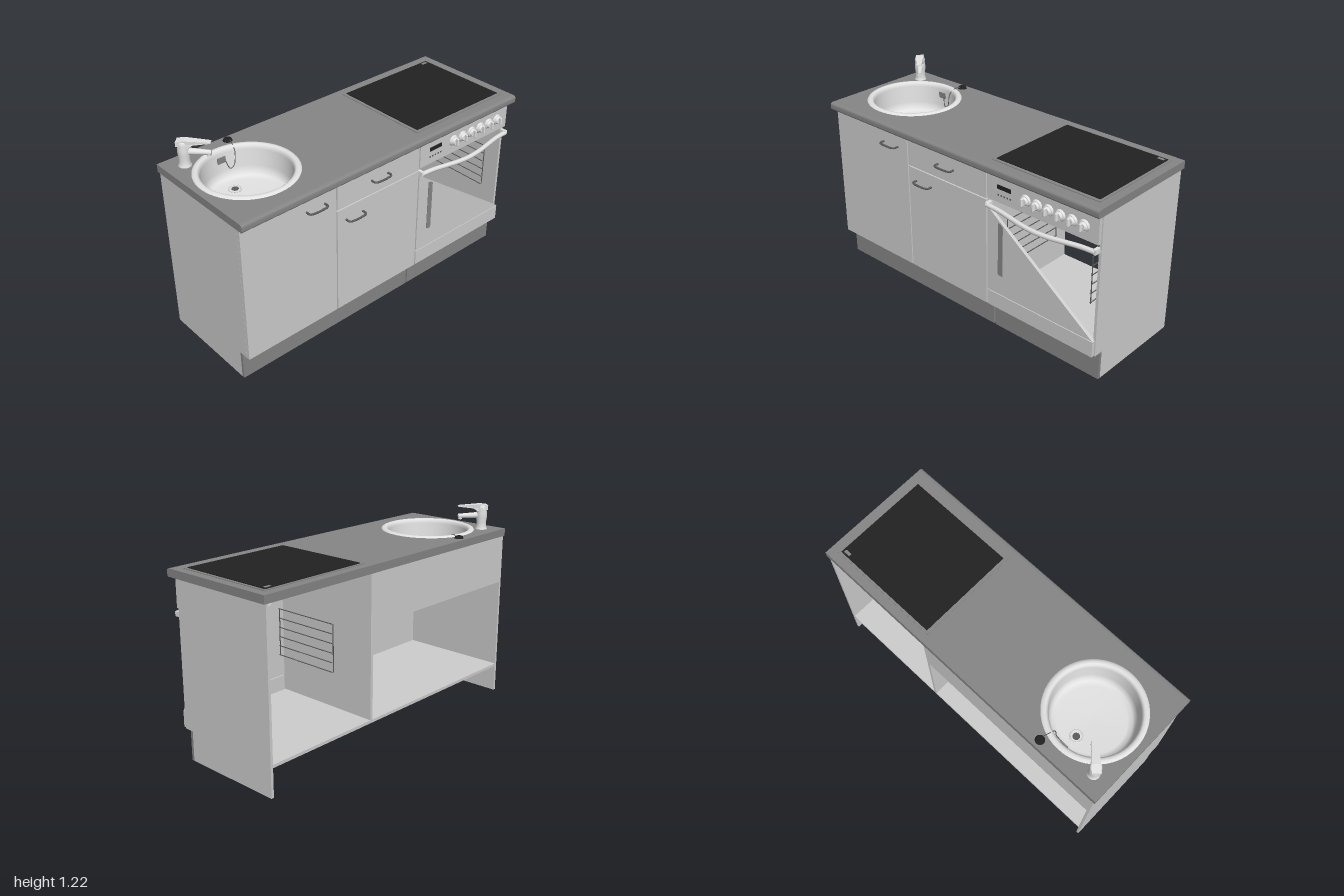
import * as THREE from 'three';
import { RoundedBoxGeometry } from 'three/addons/geometries/RoundedBoxGeometry.js';
import { toCreasedNormals } from 'three/addons/utils/BufferGeometryUtils.js';

const mat = (name, color, side = THREE.FrontSide) =>
  Object.assign(new THREE.MeshStandardMaterial({ color, side }), { name });

export function createModel() {
  const root = new THREE.Group();
  root.name = 'kitchenUnit';
  const cabinet = mat('cabinetGrey', 0xcdcdcd);
  const stone = mat('worktopGrey', 0x868686);
  const steel = mat('steel', 0xe2e2e2, THREE.DoubleSide);
  const black = mat('glassBlack', 0x222222);
  const dark = mat('handleGrey', 0x5c5c5c);

  const add = (name, geo, material, parent = root) => {
    const m = new THREE.Mesh(geo, material);
    m.name = name;
    parent.add(m);
    return m;
  };
  // Box given by its limits on each axis
  const box = (name, material, x0, x1, y0, y1, z0, z1) => {
    const m = add(name, new THREE.BoxGeometry(x1 - x0, y1 - y0, z1 - z0), material);
    m.position.set((x0 + x1) / 2, (y0 + y1) / 2, (z0 + z1) / 2);
    return m;
  };
  const poly = (pts) => new THREE.Shape(pts.map(([a, b]) => new THREE.Vector2(a, b)));
  const extrude = (shape, depth, curveSegments = 48) =>
    new THREE.ExtrudeGeometry(shape, { depth, bevelEnabled: false, curveSegments });
  const tube = (name, material, pts, r, parent = root, seg = 16) =>
    add(name, new THREE.TubeGeometry(new THREE.CatmullRomCurve3(
      pts.map((p) => new THREE.Vector3(...p))), seg, r, 8), material, parent);
  const rod = (name, material, a, b, r, parent = root) => {
    const v0 = new THREE.Vector3(...a), v1 = new THREE.Vector3(...b);
    return add(name, new THREE.TubeGeometry(new THREE.LineCurve3(v0, v1), 1, r, 6), material, parent);
  };

  // Carcass: end panels with a toe recess, floor, divider, back strip, post
  const endShape = poly([[0.38, 0], [0.38, 1.02], [-0.3, 1.02], [-0.3, 0.175], [-0.24, 0.175], [-0.24, 0]]);
  for (const x of [-0.99, 0.97]) {
    const m = add('endPanel', extrude(endShape, 0.016), cabinet);
    m.rotation.y = Math.PI / 2;
    m.position.x = x;
  }
  box('floorPanel', cabinet, -0.974, 0.97, 0.165, 0.183, -0.38, 0.3);
  box('divider', cabinet, 0.222, 0.24, 0.183, 1.02, -0.38, 0.3);
  box('backStrip', cabinet, -0.974, 0.222, 0.73, 1.02, -0.38, -0.365);
  box('frontPost', cabinet, -0.38, -0.362, 0.183, 1.02, 0.24, 0.3);
  box('plinth', stone, -0.99, 0.236, 0, 0.175, 0.24, 0.257);
  box('plinth', stone, 0.246, 0.986, 0, 0.175, 0.24, 0.257);

  // Doors and drawer front
  box('sinkDoor', cabinet, -0.99, -0.376, 0.178, 1.012, 0.301, 0.321);
  box('drawerFront', cabinet, -0.368, 0.237, 0.847, 1.012, 0.301, 0.321);
  box('lowerDoor', cabinet, -0.368, 0.237, 0.178, 0.84, 0.301, 0.321);
  for (const [x, y] of [[-0.515, 0.932], [-0.065, 0.932], [-0.247, 0.764]])
    tube('pullHandle', dark, [[x - 0.06, y, 0.32], [x - 0.06, y, 0.345], [x - 0.05, y, 0.355],
      [x + 0.05, y, 0.355], [x + 0.06, y, 0.345], [x + 0.06, y, 0.32]], 0.006, root, 28);

  // Worktop with sink cutout and rounded front edge
  const top = poly([[-1, -0.335], [1, -0.335], [1, 0.385], [-1, 0.385]]);
  top.holes.push(new THREE.Path().absarc(-0.68, 0.03, 0.25, 0, Math.PI * 2, true));
  const slab = add('worktop', extrude(top, 0.046), stone);
  slab.rotation.x = -Math.PI / 2;
  slab.position.y = 1.022;
  const nose = new THREE.Shape();
  nose.moveTo(-0.335, 1.022).lineTo(-0.335, 1.068).lineTo(-0.342, 1.068);
  nose.quadraticCurveTo(-0.36, 1.068, -0.36, 1.05).lineTo(-0.36, 1.034);
  nose.quadraticCurveTo(-0.36, 1.022, -0.35, 1.022);
  const edge = add('worktopFrontEdge', toCreasedNormals(extrude(nose, 2, 8), 0.6), stone);
  edge.rotation.y = Math.PI / 2;
  edge.position.x = -1;

  // Hob
  box('hobFrame', stone, 0.245, 0.952, 1.066, 1.072, -0.335, 0.288);
  box('hobGlass', black, 0.265, 0.937, 1.07, 1.076, -0.322, 0.268);
  box('hobMark', stone, 0.885, 0.925, 1.075, 1.077, -0.312, -0.294);

  // Sink bowl, drain and overflow
  const bowl = [[0, 0.885], [0.19, 0.89], [0.218, 0.9], [0.232, 0.92], [0.238, 0.95], [0.243, 1.05],
    [0.247, 1.068], [0.256, 1.076], [0.268, 1.077], [0.28, 1.073], [0.285, 1.067]];
  const sink = add('sinkBowl', new THREE.LatheGeometry(bowl.map((p) => new THREE.Vector2(...p)), 56), steel);
  sink.position.set(-0.68, 0, -0.03);
  const cyl = (name, material, r0, r1, h, x, y, z, seg = 24, parent = root) => {
    const m = add(name, new THREE.CylinderGeometry(r0, r1, h, seg), material, parent);
    m.position.set(x, y, z);
    return m;
  };
  cyl('drainPipe', steel, 0.034, 0.03, 0.03, -0.68, 0.874, -0.155);
  const ring = add('drainRing', new THREE.TorusGeometry(0.034, 0.004, 8, 28), steel);
  ring.rotation.x = Math.PI / 2;
  ring.position.set(-0.68, 0.89, -0.155);
  cyl('drainHole', dark, 0.02, 0.02, 0.004, -0.68, 0.889, -0.155);
  box('overflow', stone, -0.705, -0.655, 1.0, 1.035, -0.268, -0.26);

  // Plug and its chain
  cyl('plug', black, 0.022, 0.027, 0.012, -0.58, 1.075, -0.342);
  cyl('plugKnob', black, 0.009, 0.009, 0.008, -0.58, 1.083, -0.342, 12);
  tube('plugChain', dark, [[-0.58, 1.08, -0.32], [-0.59, 1.081, -0.29], [-0.6, 1.05, -0.25],
    [-0.615, 0.97, -0.245], [-0.64, 0.96, -0.245], [-0.66, 1.01, -0.256]], 0.0025, root, 30);

  // Mixer tap, turned toward the bowl
  const tap = new THREE.Group();
  tap.name = 'mixerTap';
  tap.position.set(-0.893, 0, -0.28);
  tap.rotation.y = -Math.PI / 4;
  root.add(tap);
  const body = [[0.036, 1.066], [0.036, 1.074], [0.031, 1.08], [0.029, 1.11], [0.033, 1.14],
    [0.033, 1.17], [0.03, 1.185], [0.032, 1.2], [0.026, 1.215], [0, 1.22]];
  add('tapBody', new THREE.LatheGeometry(body.map((p) => new THREE.Vector2(...p)), 24), steel, tap);
  const spout = cyl('tapSpout', steel, 0.013, 0.02, 0.13, 0.08, 1.151, 0, 20, tap);
  spout.rotation.z = -Math.PI / 2 - 0.03;
  cyl('tapNozzle', steel, 0.013, 0.013, 0.024, 0.132, 1.142, 0, 16, tap);
  const leverGeo = extrude(poly([[-0.034, 1.19], [0.03, 1.182], [0.055, 1.198], [0.147, 1.208],
    [0.147, 1.214], [0.01, 1.223], [-0.034, 1.217]]), 0.05);
  leverGeo.translate(0, 0, -0.025);
  const lp = leverGeo.attributes.position;
  for (let i = 0; i < lp.count; i++) // narrows toward the tip
    lp.setZ(i, lp.getZ(i) * (1 - 2.8 * Math.max(0, lp.getX(i))));
  leverGeo.computeVertexNormals();
  add('tapLever', leverGeo, steel, tap);

  // Oven control panel with display, lamps and knobs
  box('controlPanel', cabinet, 0.246, 0.98, 0.855, 1.012, 0.301, 0.321);
  box('display', black, 0.32, 0.415, 0.936, 0.96, 0.32, 0.324);
  for (let i = 0; i < 5; i++) {
    const x = 0.326 + i * 0.021;
    box('indicatorLamp', dark, x - 0.005, x + 0.005, 0.896, 0.905, 0.32, 0.323);
  }
  for (let i = 0; i < 6; i++) {
    const knob = new THREE.Group();
    knob.name = 'knob';
    knob.position.set(0.515 + i * 0.075, 0.934, 0.321);
    knob.rotation.x = Math.PI / 2;
    root.add(knob);
    cyl('knobFlange', steel, 0.029, 0.033, 0.012, 0, 0.006, 0, 28, knob);
    cyl('knobBody', steel, 0.02, 0.026, 0.014, 0, 0.018, 0, 28, knob);
    add('knobGrip', new RoundedBoxGeometry(0.012, 0.022, 0.046, 2, 0.004), steel, knob).position.y = 0.03;
  }

  // Oven door: solid lower triangle, lower panel, grey strip and bowed handle
  const door = add('ovenDoor', extrude(poly([[0.246, 0.278], [0.978, 0.278], [0.246, 0.805]]), 0.02), cabinet);
  door.position.z = 0.301;
  box('ovenLowerPanel', cabinet, 0.246, 0.98, 0.178, 0.273, 0.301, 0.321);
  const strip = add('doorStrip', extrude(poly([[0.325, 0.41], [0.333, 0.402], [0.358, 0.402],
    [0.358, 0.715], [0.345, 0.727], [0.325, 0.73]]), 0.004), stone);
  strip.position.z = 0.32;
  const bar = [];
  for (let i = 0; i <= 8; i++) {
    const t = i / 4 - 1, bow = Math.cos(t * Math.PI) * 0.5 + 0.5;
    bar.push([0.613 + 0.36 * t, 0.82 - 0.014 * bow, 0.333 + 0.034 * bow]);
  }
  tube('ovenHandle', steel, bar, 0.014, root, 40);
  for (const x of [0.256, 0.97]) box('handleMount', steel, x - 0.01, x + 0.01, 0.806, 0.834, 0.301, 0.34);

  // Shelf runners on both sides of the oven
  for (const [x, s] of [[0.325, 1], [0.9, -1]]) {
    const runners = new THREE.Group();
    runners.name = 'shelfRunners';
    root.add(runners);
    for (const z of [-0.18, 0.245]) rod('runnerUpright', dark, [x, 0.44, z], [x, 0.72, z], 0.003, runners);
    for (let i = 0; i < 6; i++) {
      const y = 0.44 + i * 0.056;
      rod('runnerWire', dark, [x + s * 0.006, y, -0.18], [x + s * 0.006, y, 0.245], 0.003, runners);
    }
  }
  return root;
}
